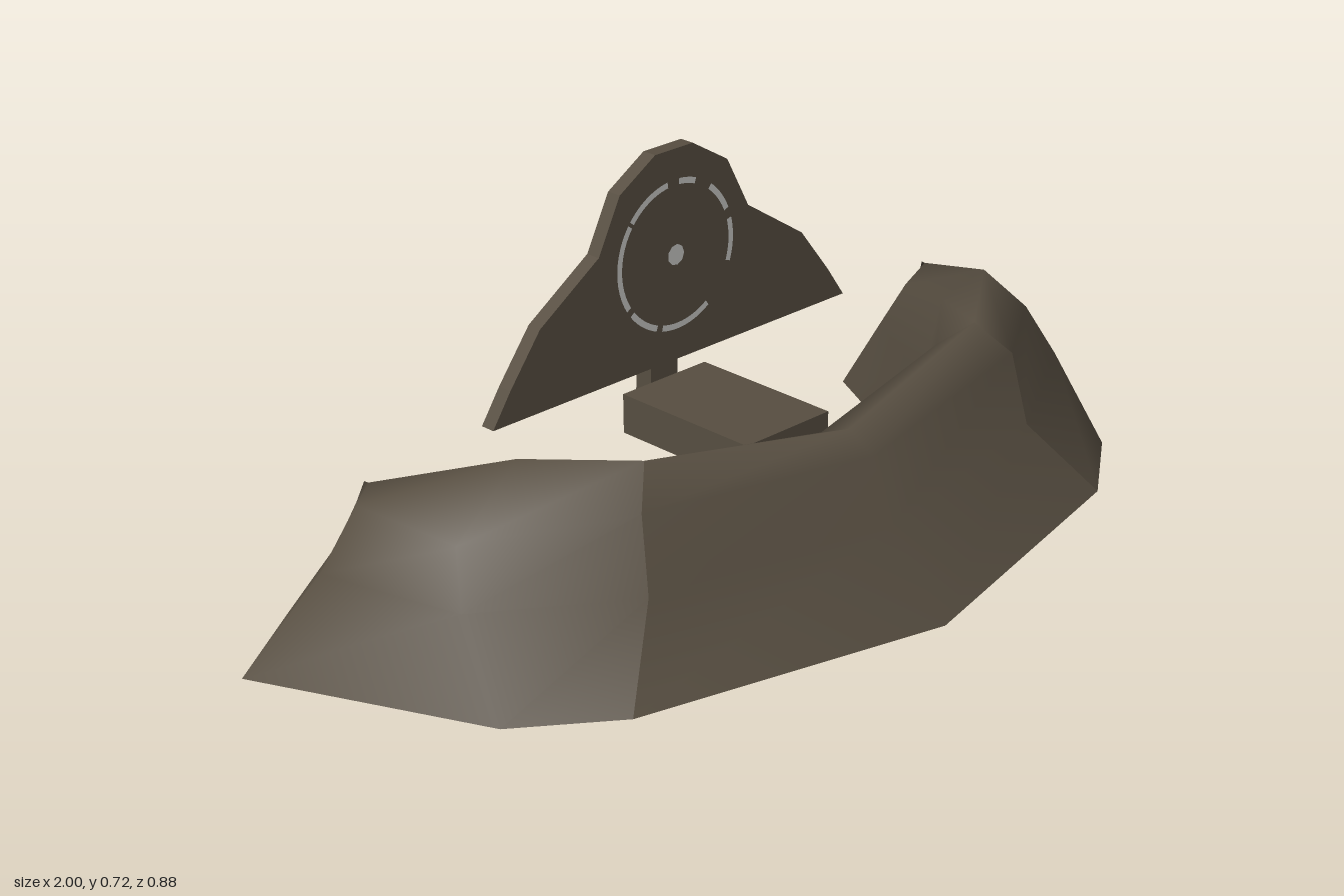
import * as THREE from 'three';

// Double-sided because the bank is a hollow shell, open underneath
const earth = new THREE.MeshStandardMaterial({ color: 0x574e41, side: THREE.DoubleSide });
earth.name = 'brown earth';
const paint = new THREE.MeshStandardMaterial({ color: 0xc8c8c5 });
paint.name = 'pale grey paint';

const CENTRE_X = 0.017; // the target stands slightly off the middle

function add(parent, name, geometry, material = earth) {
  const mesh = new THREE.Mesh(geometry, material);
  mesh.name = name;
  parent.add(mesh);
  return mesh;
}

// Skin through cross-sections that share a point count
function loft(sections) {
  const n = sections[0].length;
  const index = [];
  for (let i = 0; i < sections.length - 1; i++) {
    for (let j = 0; j < n - 1; j++) {
      const a = i * n + j, b = a + n, c = b + 1, d = a + 1;
      index.push(a, b, c, a, c, d);
    }
  }
  const geometry = new THREE.BufferGeometry();
  geometry.setAttribute('position', new THREE.Float32BufferAttribute(sections.flat(2), 3));
  geometry.setIndex(index);
  geometry.computeVertexNormals();
  return geometry;
}

// Half of the bank: each section runs from outer ground over the crest to inner ground
const middle = [[0, 0, 0.44], [0, 0.155, 0.31], [0, 0.275, 0.26], [0, 0.31, 0.2],
  [0, 0.28, 0.13], [0, 0.155, 0.08], [0, 0, 0.03]];
const shoulder = [[0.62, 0, 0.285], [0.5, 0.155, 0.2], [0.485, 0.3, 0.17], [0.43, 0.365, 0.12],
  [0.38, 0.32, 0.07], [0.36, 0.155, 0.03], [0.34, 0, 0]];
const bend = [[0.8, 0, 0.15], [0.78, 0.168, 0.035], [0.745, 0.265, -0.015], [0.607, 0.385, -0.01],
  [0.54, 0.33, -0.06], [0.51, 0.155, -0.08], [0.49, 0, -0.1]];
const arm = [[1, 0, -0.3], [0.845, 0.16, -0.265], [0.76, 0.262, -0.265], [0.725, 0.293, -0.27],
  [0.69, 0.25, -0.29], [0.67, 0.155, -0.34], [0.655, 0, -0.43]];
// The end folds shut on a single ridge
const ridge = [[0.79, 0, -0.44], [0.75, 0.155, -0.34], [0.735, 0.25, -0.295], [0.727, 0.293, -0.28]];
const tip = [...ridge, ridge[2], ridge[1], ridge[0]];

function createBank() {
  const bank = new THREE.Group();
  bank.name = 'earthBank';
  const mirror = (section) => section.map(([x, y, z]) => [-x, y, z]);
  const leftArm = [shoulder, bend, arm, tip];
  add(bank, 'bankMiddle', loft([mirror(shoulder), middle, shoulder]));
  add(bank, 'bankLeftArm', loft(leftArm));
  add(bank, 'bankRightArm', loft(leftArm.map(mirror).reverse()));
  return bank;
}

function createTarget() {
  const target = new THREE.Group();
  target.name = 'target';
  const thick = 0.031, front = -0.265;

  // Head-and-shoulders board
  const half = [[0.459, 0.3], [0.415, 0.365], [0.34, 0.463], [0.193, 0.56], [0.138, 0.667], [0.048, 0.722]];
  const outline = [...half, ...half.map(([x, y]) => [-x, y]).reverse()];
  const board = new THREE.ExtrudeGeometry(
    new THREE.Shape(outline.map(([x, y]) => new THREE.Vector2(x, y))),
    { depth: thick, bevelEnabled: false });
  add(target, 'board', board).position.set(CENTRE_X, 0, front - thick);

  // Worn painted ring and bullseye on both faces; arcs are [start, length] in radians
  const arcs = [[-0.35, 0.6], [0.4, 0.5], [1.2, 0.3], [1.7, 0.75], [2.5, 1.2], [3.8, 0.55], [4.45, 0.85]];
  for (const [side, z, turn] of [['front', front + 0.002, 0], ['back', front - thick - 0.002, Math.PI]]) {
    const marks = new THREE.Group();
    marks.name = side + 'Marks';
    marks.position.set(CENTRE_X, 0.513, z);
    marks.rotation.y = turn;
    for (const [start, length] of arcs) {
      add(marks, 'ringArc', new THREE.RingGeometry(0.138, 0.15, 12, 1, start, length), paint);
    }
    add(marks, 'bullseye', new THREE.CircleGeometry(0.021, 9), paint);
    target.add(marks);
  }
  return target;
}

function createStand() {
  const stand = new THREE.Group();
  stand.name = 'stand';
  add(stand, 'baseBlock', new THREE.BoxGeometry(0.215, 0.08, 0.33)).position.set(CENTRE_X, 0.21, -0.135);
  // Post, thinner towards the top
  const side = new THREE.Shape([[0.3, 0.155], [0.346, 0.155], [0.327, 0.46], [0.3, 0.46]]
    .map(([z, y]) => new THREE.Vector2(z, y)));
  const post = new THREE.ExtrudeGeometry(side, { depth: 0.07, bevelEnabled: false });
  post.rotateY(Math.PI / 2);
  add(stand, 'post', post).position.x = CENTRE_X - 0.035;
  return stand;
}

export function createModel() {
  const model = new THREE.Group();
  model.name = 'targetBehindBank';
  model.add(createBank(), createTarget(), createStand());
  return model;
}
